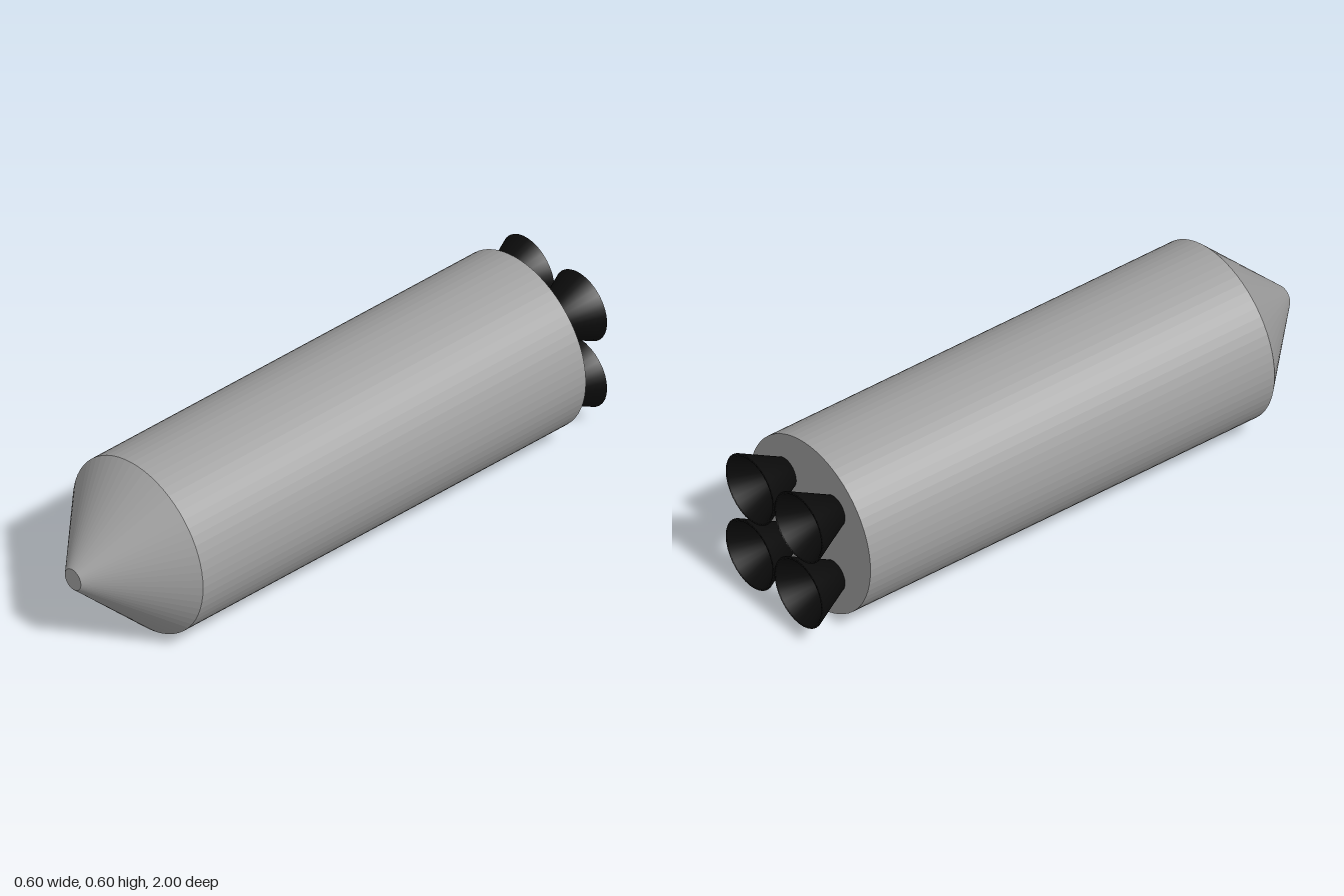
import * as THREE from 'three';

const R = 0.302; // hull radius, also the height of the long axis

export function createModel() {
  const hullGrey = new THREE.MeshStandardMaterial({ color: 0xa0a0a0, flatShading: true });
  hullGrey.name = 'hullGrey';
  const nozzleBlack = new THREE.MeshStandardMaterial({ color: 0x0b0b0b });
  nozzleBlack.name = 'nozzleBlack';

  const rocket = new THREE.Group();
  rocket.name = 'rocket';

  // Round section along z, from a back z to a front z
  const section = (name, rFront, rBack, zBack, zFront) => {
    const geometry = new THREE.CylinderGeometry(rFront, rBack, zFront - zBack, 64);
    geometry.rotateX(Math.PI / 2);
    const mesh = new THREE.Mesh(geometry, hullGrey);
    mesh.name = name;
    mesh.position.set(0, R, (zBack + zFront) / 2);
    rocket.add(mesh);
  };
  section('hull', R, R, -0.86, 0.73);
  section('noseCone', 0.037, R, 0.73, 1);

  // Hollow engine bell: inner floor, inner wall, rim, outer wall, closed base
  const profile = [[0, 0.025], [0.045, 0.025], [0.112, 0.14], [0.122, 0.14], [0.053, 0], [0, 0]]
    .map(([r, y]) => new THREE.Vector2(r, y)).reverse();
  const bell = new THREE.LatheGeometry(profile, 32);
  bell.rotateX(-Math.PI / 2);

  for (const sx of [-1, 1]) {
    for (const sy of [-1, 1]) {
      const nozzle = new THREE.Mesh(bell, nozzleBlack);
      nozzle.name = `${sy > 0 ? 'upper' : 'lower'}${sx > 0 ? 'Left' : 'Right'}Nozzle`;
      nozzle.position.set(sx * 0.122, R + sy * 0.127, -0.86);
      rocket.add(nozzle);
    }
  }
  return rocket;
}
